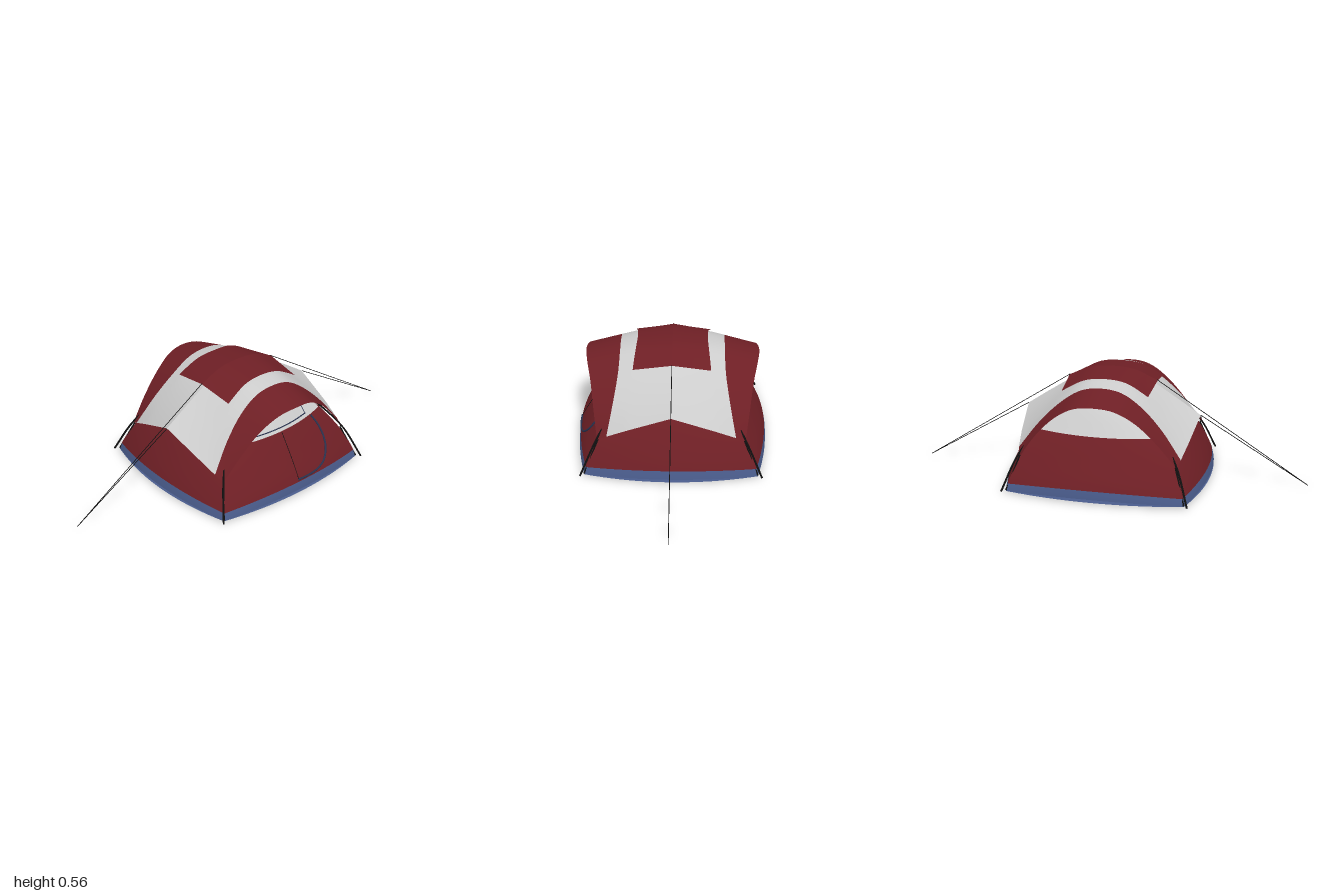
import * as THREE from 'three';

const V = (x, y, z) => new THREE.Vector3(x, y, z);
const curve = (pts) => new THREE.CatmullRomCurve3(pts.map((p) => V(...p)));
const mat = (color) => new THREE.MeshStandardMaterial({ color, side: THREE.DoubleSide });

const RED = mat(0x6e1f25);
const BLUE = mat(0x4a5c8c);
const GREY = mat(0xcccccc);
const BLACK = mat(0x101010);
const NAVY = mat(0x2a3350);

// Inner tent: one rising curve at the corners, one at the middle of the walls
// (x for the side walls, z for the front and back walls).
const LEVELS = 6;
const corner = curve([
  [0.445, 0.005, 0.425], [0.437, 0.042, 0.417], [0.385, 0.175, 0.352],
  [0.305, 0.29, 0.28], [0.19, 0.415, 0.175], [0.09, 0.48, 0.085], [0, 0.503, 0],
]);
const middle = curve([
  [0.507, 0.02, 0.478], [0.497, 0.062, 0.472], [0.43, 0.19, 0.4],
  [0.36, 0.29, 0.335], [0.235, 0.42, 0.235], [0.115, 0.482, 0.125], [0, 0.503, 0],
]);

// Point on a wall: u runs corner to corner (-1..1), v is the level (0..6)
function wallPoint(side, u, v) {
  const c = corner.getPoint(v / LEVELS);
  const m = middle.getPoint(v / LEVELS);
  const p = m.lerp(c, u * u);
  return side ? V(p.x, p.y, c.z * u) : V(c.x * u, p.y, p.z);
}

// Point on the front wall at a given x and y, lifted slightly off the cloth
function onFront(x, y) {
  let lo = 0.5, hi = 5.5;
  for (let i = 0; i < 30; i++) {
    const v = (lo + hi) / 2;
    const u = x / corner.getPoint(v / LEVELS).x;
    if (wallPoint(false, u, v).y < y) lo = v; else hi = v;
  }
  const p = wallPoint(false, x / corner.getPoint(lo / LEVELS).x, lo);
  p.z += 0.003;
  return p;
}

// Flysheet: arched cross-sections from the middle crease out to the front edge
const sections = [
  [[0, 0.555, 0], [0.11, 0.54, 0], [0.21, 0.485, 0], [0.33, 0.41, 0], [0.45, 0.33, 0]],
  [[0, 0.536, 0.175], [0.1, 0.521, 0.18], [0.2, 0.458, 0.19], [0.315, 0.355, 0.2], [0.425, 0.247, 0.21]],
  [[0, 0.516, 0.26], [0.1, 0.5, 0.26], [0.2, 0.437, 0.265], [0.305, 0.335, 0.285], [0.408, 0.2, 0.315]],
  [[0, 0.47, 0.435], [0.1, 0.455, 0.424], [0.2, 0.395, 0.402], [0.3, 0.295, 0.383], [0.395, 0.175, 0.362]],
].map((half) => curve([...half.slice(1).reverse().map(([x, y, z]) => [-x, y, z]), ...half]));

function flyPoint(s, t) {
  const i = Math.min(Math.floor(t), 2);
  const k = (s + 1) / 2;
  return sections[i].getPoint(k).lerp(sections[i + 1].getPoint(k), t - i);
}

// Sheet whose vertices follow f(a, b), with a and b between the given limits
function sheet(f, a0, a1, b0, b1, na, nb) {
  const g = new THREE.PlaneGeometry(1, 1, na, nb);
  const pos = g.attributes.position;
  for (let i = 0; i < pos.count; i++) {
    const p = f(
      THREE.MathUtils.lerp(a0, a1, pos.getX(i) + 0.5),
      THREE.MathUtils.lerp(b0, b1, pos.getY(i) + 0.5),
    );
    pos.setXYZ(i, p.x, p.y, p.z);
  }
  g.computeVertexNormals();
  return g;
}

export function createModel() {
  const root = new THREE.Group();
  root.name = 'domeTent';
  const add = (name, geometry, material) => {
    const mesh = new THREE.Mesh(geometry, material);
    mesh.name = name;
    root.add(mesh);
  };
  const tube = (name, pts, r, material, straight = false) => {
    const path = straight ? new THREE.LineCurve3(pts[0], pts[1]) : new THREE.CatmullRomCurve3(pts);
    add(name, new THREE.TubeGeometry(path, straight ? 1 : 40, r, 6), material);
  };

  // Four walls, each with tub, cloth and upper mesh
  for (const side of [false, true]) {
    for (const sign of [1, -1]) {
      const f = (u, v) => {
        const p = wallPoint(side, u, v);
        return side ? V(p.x * sign, p.y, -p.z * sign) : V(p.x * sign, p.y, p.z * sign);
      };
      add('tubWall', sheet(f, -1, 1, 0, 1, 20, 2), BLUE);
      add('clothWall', sheet(f, -1, 1, 1, 3, 20, 10), RED);
      add('meshWall', sheet(f, -1, 1, 3, LEVELS, 20, 14), GREY);
    }
  }

  // Floor spanning the bottom edge from front to back
  add('floor', sheet((u, w) => {
    const p = wallPoint(false, u, 0);
    const q = wallPoint(true, w, 0);
    const x = u * q.x;
    return V(x, Math.max(0.005, p.y + q.y - 0.02), w * p.z);
  }, -1, 1, 1, -1, 20, 20), BLUE);

  // Flysheet halves with red ends, and the raised roof cover
  for (const sign of [1, -1]) {
    const fly = (s, t) => {
      const p = flyPoint(s * sign, t);
      return V(p.x, p.y, p.z * sign);
    };
    const cover = (s, t) => {
      const p = fly(s, t);
      p.y += 0.003 + 0.07 * s * s;
      return p;
    };
    add('flysheet', sheet(fly, -1, 1, 2, 0, 40, 8), GREY);
    add('flysheetEnd', sheet(fly, -1, 1, 3, 2, 40, 6), RED);
    add('roofCover', sheet(cover, -0.54, 0.54, 1, 0, 24, 4), RED);
  }

  // Crossed poles, with a strap from each fly corner to the pole foot
  for (const sx of [1, -1]) {
    for (const sz of [1, -1]) {
      const foot = V(0.464 * sx, 0.008, 0.445 * sz);
      tube('pole', [
        foot, V(0.4 * sx, 0.172, 0.367 * sz), V(0.31 * sx, 0.3, 0.283 * sz),
        V(0.2 * sx, 0.42, 0.184 * sz), V(0.1 * sx, 0.486, 0.094 * sz), V(0, 0.51, 0),
      ], 0.005, BLACK);
      tube('cornerStrap', [V(0.39 * sx, 0.175, 0.357 * sz), V(0.445 * sx, 0.01, 0.426 * sz)], 0.004, BLACK, true);
    }
    // Guy lines
    const peg = V(sx, 0.002, 0);
    tube('upperGuyLine', [V(0.225 * sx, 0.5, 0), peg], 0.0018, BLACK, true);
    tube('lowerGuyLine', [V(0.45 * sx, 0.33, 0), peg], 0.0018, BLACK, true);
  }

  // Door zip and window outline on the front wall
  tube('doorZip', [
    [-0.005, 0.075], [0.06, 0.073], [0.13, 0.077], [0.19, 0.095],
    [0.235, 0.14], [0.248, 0.19], [0.242, 0.24], [0.222, 0.288],
  ].map(([x, y]) => onFront(x, y)), 0.005, NAVY);
  tube('doorSeam', [0.075, 0.13, 0.2, 0.288].map((y) => onFront(0, y)), 0.0015, BLACK);
  const arch = [];
  for (let i = 0; i <= 16; i++) {
    const a = (i / 16) * Math.PI;
    arch.push(onFront(0.19 * Math.cos(a), 0.307 + 0.13 * Math.sin(a) ** 0.85));
  }
  tube('windowArch', arch, 0.002, NAVY);
  tube('windowSill', [-0.19, -0.1, 0, 0.1, 0.19].map((x) => onFront(x, 0.307)), 0.003, NAVY);

  return root;
}
